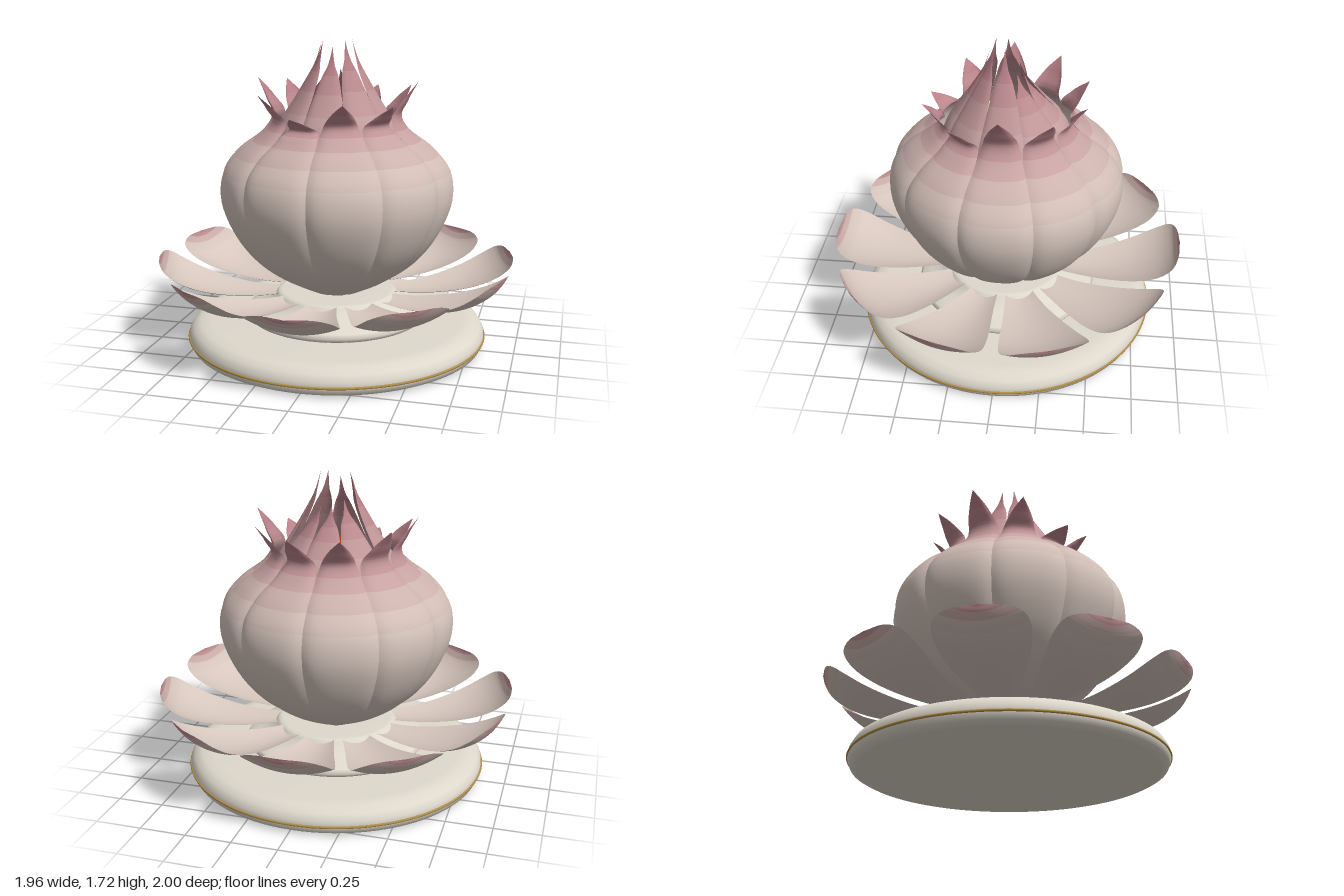
import * as THREE from 'three';

const CREAM = new THREE.Color(0xd6c6bd);
const PINK = new THREE.Color(0xb98088);
const PLUM = new THREE.Color(0x8a5560);

function mat(color, side = THREE.FrontSide) {
  return new THREE.MeshStandardMaterial({ color, side, roughness: 0.6 });
}

// Colour bands running from the root of a petal to its tip
function bands(count, start, from, to) {
  return Array.from({ length: count }, (_, i) => {
    const t = THREE.MathUtils.smoothstep(i / (count - 1), start, 1);
    return mat(from.clone().lerp(to, t), THREE.DoubleSide);
  });
}

// Curved sheet from fn(u, v), u along the petal 0..1, v across it -1..1
function sheet(fn, nu, nv, materials) {
  const pos = [], index = [];
  for (let i = 0; i <= nu; i++) {
    for (let j = 0; j <= nv; j++) pos.push(...fn(i / nu, (j / nv) * 2 - 1));
  }
  const geo = new THREE.BufferGeometry();
  const rowsPerBand = nu / materials.length;
  for (let i = 0; i < nu; i++) {
    for (let j = 0; j < nv; j++) {
      const a = i * (nv + 1) + j, b = a + nv + 1;
      index.push(a, a + 1, b, b, a + 1, b + 1);
    }
  }
  geo.setAttribute('position', new THREE.Float32BufferAttribute(pos, 3));
  geo.setIndex(index);
  materials.forEach((m, k) => geo.addGroup(k * rowsPerBand * nv * 6, rowsPerBand * nv * 6, k));
  geo.computeVertexNormals();
  return new THREE.Mesh(geo, materials);
}

// Profile points are (radius, height, width)
function profile(points) {
  return new THREE.CatmullRomCurve3(points.map((p) => new THREE.Vector3(...p)));
}

// Ring of petals that wrap round the axis and meet at creased seams
function wrappedRing(name, points, count, offset, rises, tipStart, crease, materials) {
  const ring = new THREE.Group();
  ring.name = name + 's';
  const curve = profile(points);
  const top = points[points.length - 1][1];
  for (let k = 0; k < count; k++) {
    const petal = sheet((u, v) => {
      const p = curve.getPoint(u);
      const w = THREE.MathUtils.clamp(p.z, 0, 1);
      const a = (v * w * Math.PI) / count;
      const r = p.x - crease * Math.pow(Math.abs(v), 5) * Math.min(1, p.x * 3) * w;
      const lift = Math.max(0, (p.y - tipStart) / (top - tipStart));
      return [r * Math.sin(a), p.y + rises[k] * lift, r * Math.cos(a)];
    }, 48, 16, materials);
    petal.name = name;
    petal.rotation.y = ((k + offset) * Math.PI * 2) / count;
    ring.add(petal);
  }
  return ring;
}

export function createModel() {
  const model = new THREE.Group();
  model.name = 'lotusOrnament';

  // Round stepped foot
  const foot = new THREE.Mesh(new THREE.LatheGeometry([
    [0, 0], [0.79, 0], [0.8, 0.002], [0.83, 0.018], [0.843, 0.05], [0.84, 0.085], [0.82, 0.12],
    [0.78, 0.142], [0.72, 0.15], [0.48, 0.152], [0.46, 0.156], [0.5, 0.163], [0.515, 0.185],
    [0.5, 0.207], [0.45, 0.222], [0.4, 0.24], [0.36, 0.265], [0.34, 0.29], [0.33, 0.3],
    [0.31, 0.304], [0, 0.305],
  ].map(([x, y]) => new THREE.Vector2(x, y)), 96), mat(0xded8cc));
  foot.name = 'foot';
  model.add(foot);

  const band = new THREE.Mesh(new THREE.TorusGeometry(0.843, 0.007, 8, 96), mat(0xb08d45));
  band.name = 'goldBand';
  band.rotation.x = Math.PI / 2;
  band.position.y = 0.057;
  model.add(band);

  // Ten spread petals, cupped and curled up at the end
  const spread = new THREE.Group();
  spread.name = 'spreadPetals';
  const spreadCurve = profile([
    [0.28, 0.285, 0.07], [0.45, 0.275, 0.115], [0.62, 0.285, 0.17], [0.77, 0.315, 0.215],
    [0.88, 0.36, 0.235], [0.95, 0.41, 0.215], [0.985, 0.455, 0.14], [1.0, 0.49, 0],
  ]);
  const spreadColours = bands(8, 0.5, CREAM, PINK);
  for (let k = 0; k < 10; k++) {
    const rise = [-0.03, 0, 0.02, 0.01, 0, 0.01, 0, 0.01, 0.02, 0][k];
    const petal = sheet((u, v) => {
      const p = spreadCurve.getPoint(1 - Math.pow(1 - u, 1.5));
      const w = Math.max(0, p.z);
      return [v * w, p.y + 0.055 * v * v * (w / 0.235) + rise * u, p.x];
    }, 40, 16, spreadColours);
    petal.name = 'spreadPetal';
    petal.rotation.y = (k * Math.PI) / 5;
    spread.add(petal);
  }
  model.add(spread);

  // Ten petals forming the swollen body, tips flaring outward
  model.add(wrappedRing('bodyPetal', [
    [0.12, 0.29, 1], [0.33, 0.4, 1], [0.47, 0.51, 1], [0.58, 0.66, 1], [0.648, 0.85, 1],
    [0.632, 1.0, 1], [0.55, 1.11, 1], [0.43, 1.2, 1], [0.365, 1.27, 0.93],
    [0.395, 1.36, 0.55], [0.455, 1.45, 0],
  ], 10, 0.5, [-0.04, -0.06, 0.05, 0, -0.02, -0.01, 0.02, 0.05, -0.02, -0.12],
  1.22, 0.022, bands(12, 0.4, CREAM, PINK)));

  // Eight petals closing into the pointed bud
  model.add(wrappedRing('budPetal', [
    [0.2, 0.6, 1], [0.37, 0.85, 1], [0.37, 1.1, 1], [0.325, 1.25, 1], [0.235, 1.4, 1],
    [0.165, 1.52, 0.9], [0.115, 1.62, 0.4], [0.085, 1.72, 0],
  ], 8, 0, [-0.04, 0, 0, -0.15, -0.17, -0.14, -0.02, -0.01],
  1.25, 0.018, bands(8, 0.2, CREAM.clone().lerp(PINK, 0.5), PINK.clone().lerp(PLUM, 0.15))));

  // Pale floor and red heart inside the bud
  const floor = new THREE.Mesh(new THREE.CylinderGeometry(0.3, 0.3, 0.03, 48), mat(0xe6cf92));
  floor.name = 'budFloor';
  floor.position.y = 1.2;
  model.add(floor);

  const heart = new THREE.Group();
  heart.name = 'heart';
  const pod = new THREE.Mesh(new THREE.SphereGeometry(0.06, 24, 16), mat(0x7d6a2c));
  pod.name = 'pod';
  pod.position.set(0, 1.25, 0.015);
  const ember = new THREE.Mesh(new THREE.SphereGeometry(0.058, 24, 16), mat(0xa8330f));
  ember.name = 'redCentre';
  ember.position.set(-0.01, 1.29, -0.01);
  const strand = new THREE.Mesh(new THREE.TubeGeometry(new THREE.CatmullRomCurve3([
    new THREE.Vector3(-0.08, 1.29, 0.01), new THREE.Vector3(-0.02, 1.34, 0.01),
    new THREE.Vector3(0.04, 1.33, -0.01), new THREE.Vector3(0.1, 1.3, -0.03),
  ]), 20, 0.013, 8), mat(0xa8330f));
  strand.name = 'redStrand';
  heart.add(pod, ember, strand);
  model.add(heart);

  model.position.x = -0.015;
  const root = new THREE.Group();
  root.name = 'lotus';
  root.add(model);
  return root;
}
